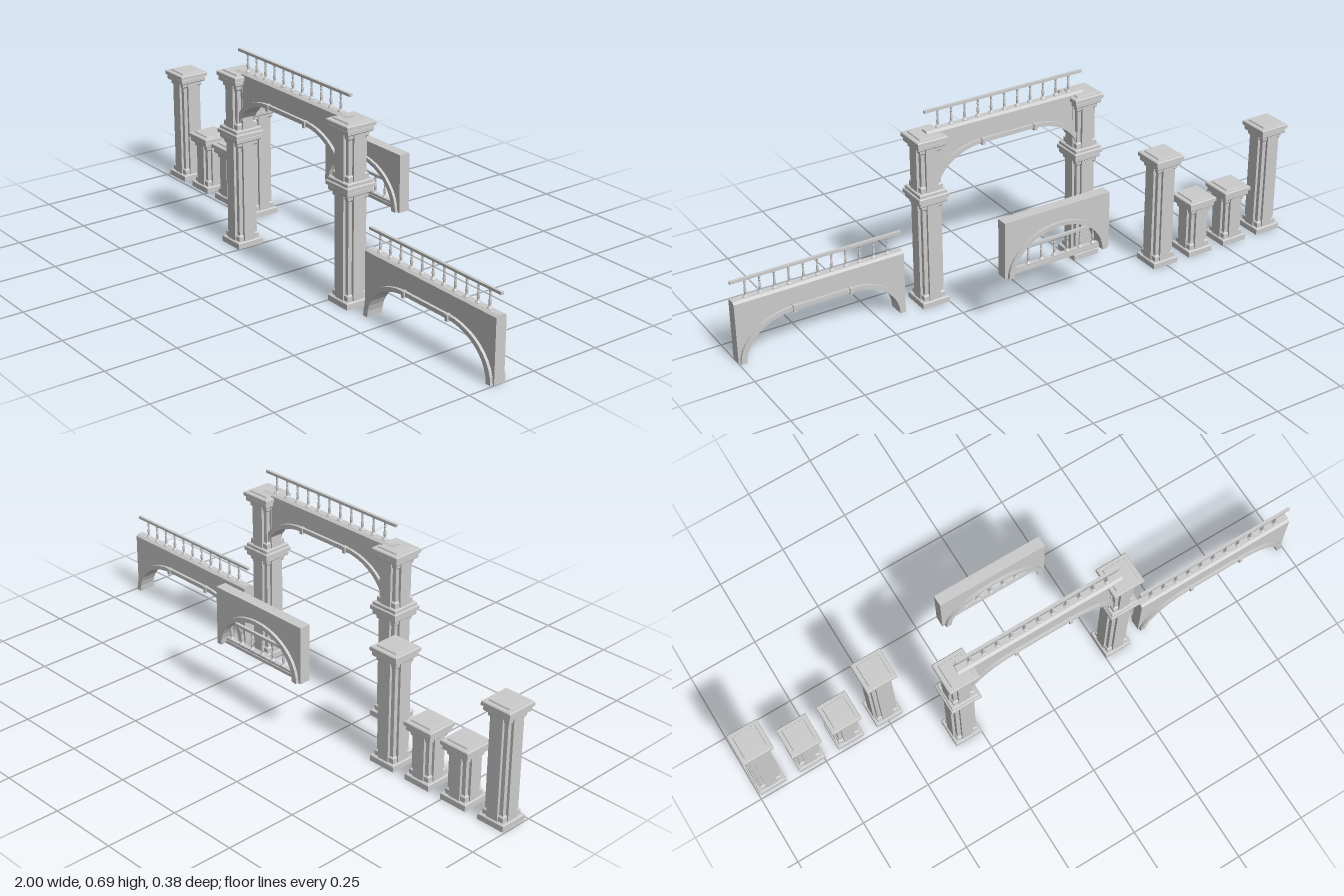
import * as THREE from 'three';

const material = new THREE.MeshStandardMaterial({ color: 0xcccccc, flatShading: true });

function add(parent, name, geometry, x = 0, y = 0, z = 0) {
  const mesh = new THREE.Mesh(geometry, material);
  mesh.name = name;
  mesh.position.set(x, y, z);
  parent.add(mesh);
  return mesh;
}

function group(parent, name, x, y, z) {
  const g = new THREE.Group();
  g.name = name;
  g.position.set(x, y, z);
  parent.add(g);
  return g;
}

// Square moulding from [half width, y] steps, bottom to top
function squareTurned(steps) {
  const points = steps.map(([r, y]) => new THREE.Vector2(r * Math.SQRT2, y));
  return new THREE.LatheGeometry(points, 4, Math.PI / 4).toNonIndexed();
}

// Square column: stepped base and cap, cross-shaped shaft with small corner posts
function column(parent, h, x, y, z) {
  const g = group(parent, 'column', x, y, z);
  add(g, 'columnBase', squareTurned([[0, 0], [0.05, 0], [0.05, 0.019], [0.047, 0.022], [0, 0.022]]));
  add(g, 'cornerPosts', squareTurned([
    [0.04, 0.02], [0.04, 0.038], [0.035, 0.043],
    [0.035, h - 0.043], [0.04, h - 0.038], [0.04, h - 0.02],
  ]));
  const height = h - 0.035;
  add(g, 'shaftPanelsSide', new THREE.BoxGeometry(0.0885, height, 0.042), 0, h / 2, 0);
  add(g, 'shaftPanelsFront', new THREE.BoxGeometry(0.042, height, 0.0885), 0, h / 2, 0);
  add(g, 'columnCap', squareTurned([
    [0, h - 0.024], [0.047, h - 0.024], [0.05, h - 0.021], [0.05, h - 0.009], [0.048, h - 0.005],
    [0.0555, h - 0.005], [0.0555, h + 0.007], [0.053, h + 0.01],
    [0.041, h + 0.01], [0.039, h + 0.015], [0, h + 0.015],
  ]));
}

// Arch curve from right foot to left foot: two quarter ellipses joined by a flat
function archPoints(rx, ry, flat, n = 10) {
  const right = [];
  for (let i = 0; i <= n; i++) {
    const a = (i / n) * Math.PI / 2;
    right.push(new THREE.Vector2(flat + rx * Math.cos(a), ry * Math.sin(a)));
  }
  const left = right.slice(0, flat ? n + 1 : n).reverse().map(p => new THREE.Vector2(-p.x, p.y));
  return right.concat(left);
}

function slab(points, depth) {
  const geometry = new THREE.ExtrudeGeometry(new THREE.Shape(points), { depth, bevelEnabled: false });
  return geometry.translate(0, 0, -depth / 2);
}

// Wall with an arched opening and a thicker trim around it
function archedWall(parent, halfWidth, height, flat, rx, ry) {
  const opening = archPoints(rx - 0.008, ry - 0.006, flat);
  add(parent, 'archWall', slab([
    ...opening,
    new THREE.Vector2(-halfWidth, 0), new THREE.Vector2(-halfWidth, height),
    new THREE.Vector2(halfWidth, height), new THREE.Vector2(halfWidth, 0),
  ], 0.039));
  const inner = archPoints(rx - 0.02, ry - 0.014, flat);
  add(parent, 'archTrim', slab([...archPoints(rx, ry, flat), ...inner.reverse()], 0.059));
}

const balusterProfile = [
  [0.010, 0], [0.010, 0.003], [0.005, 0.008], [0.0035, 0.012], [0.005, 0.02],
  [0.0045, 0.027], [0.0025, 0.042], [0.0045, 0.046], [0.003, 0.05], [0.0045, 0.06], [0.0045, 0.064],
].map(([r, y]) => new THREE.Vector2(r, y));

// Turned balusters under a handrail
function railing(parent, y, count, railLength) {
  const g = group(parent, 'railing', 0, y, 0);
  const baluster = new THREE.LatheGeometry(balusterProfile, 8);
  for (let i = 0; i < count; i++) {
    add(g, 'baluster', baluster, (i - (count - 1) / 2) * 0.05, 0, 0);
  }
  add(g, 'handrail', new THREE.BoxGeometry(railLength, 0.009, 0.01), 0, 0.0655, 0);
}

// Bridge: flat-topped arch, bevelled coping, two arch blocks and a railing
function bridge(parent, x, y, z) {
  const g = group(parent, 'bridge', x, y, z);
  archedWall(g, 0.3, 0.214, 0.1, 0.195, 0.152);
  const coping = new THREE.BoxGeometry(0.6, 0.007, 0.039);
  const p = coping.attributes.position;
  for (let i = 0; i < p.count; i++) if (p.getY(i) > 0) p.setZ(i, p.getZ(i) * 0.55);
  add(g, 'coping', coping, 0, 0.2175, 0);
  for (const side of [-1, 1]) {
    add(g, 'archBlock', new THREE.BoxGeometry(0.012, 0.022, 0.069), side * 0.1, 0.143, 0);
  }
  railing(g, 0.22, 11, 0.6);
}

export function createModel() {
  const model = new THREE.Group();
  model.name = 'archesAndColumns';

  // Row of free-standing columns, tall at the ends
  [0.4, 0.2, 0.2, 0.4].forEach((h, i) => column(model, h, -0.945 + i * 0.15, 0, -0.0625));

  // Gateway of stacked columns carrying a bridge
  const gateway = group(model, 'gateway', 0, 0, 0.136);
  for (const side of [-1, 1]) {
    column(gateway, 0.4, side * 0.3, 0, 0);
    column(gateway, 0.2, side * 0.3, 0.4, 0);
  }
  bridge(gateway, 0, 0.4, 0);

  // Separate bridge on the ground
  bridge(model, 0.7, 0, 0.136);

  // Raised arch wall with a balustrade in its opening
  const balcony = group(model, 'balconyArch', 0, 0.2, -0.162);
  archedWall(balcony, 0.2, 0.2, 0, 0.19, 0.15);
  add(balcony, 'sill', new THREE.BoxGeometry(0.36, 0.011, 0.02), 0, 0.0055, 0);
  railing(balcony, 0.018, 7, 0.27);
  add(balcony, 'sillTop', new THREE.BoxGeometry(0.35, 0.009, 0.014), 0, 0.0145, 0);

  return model;
}
